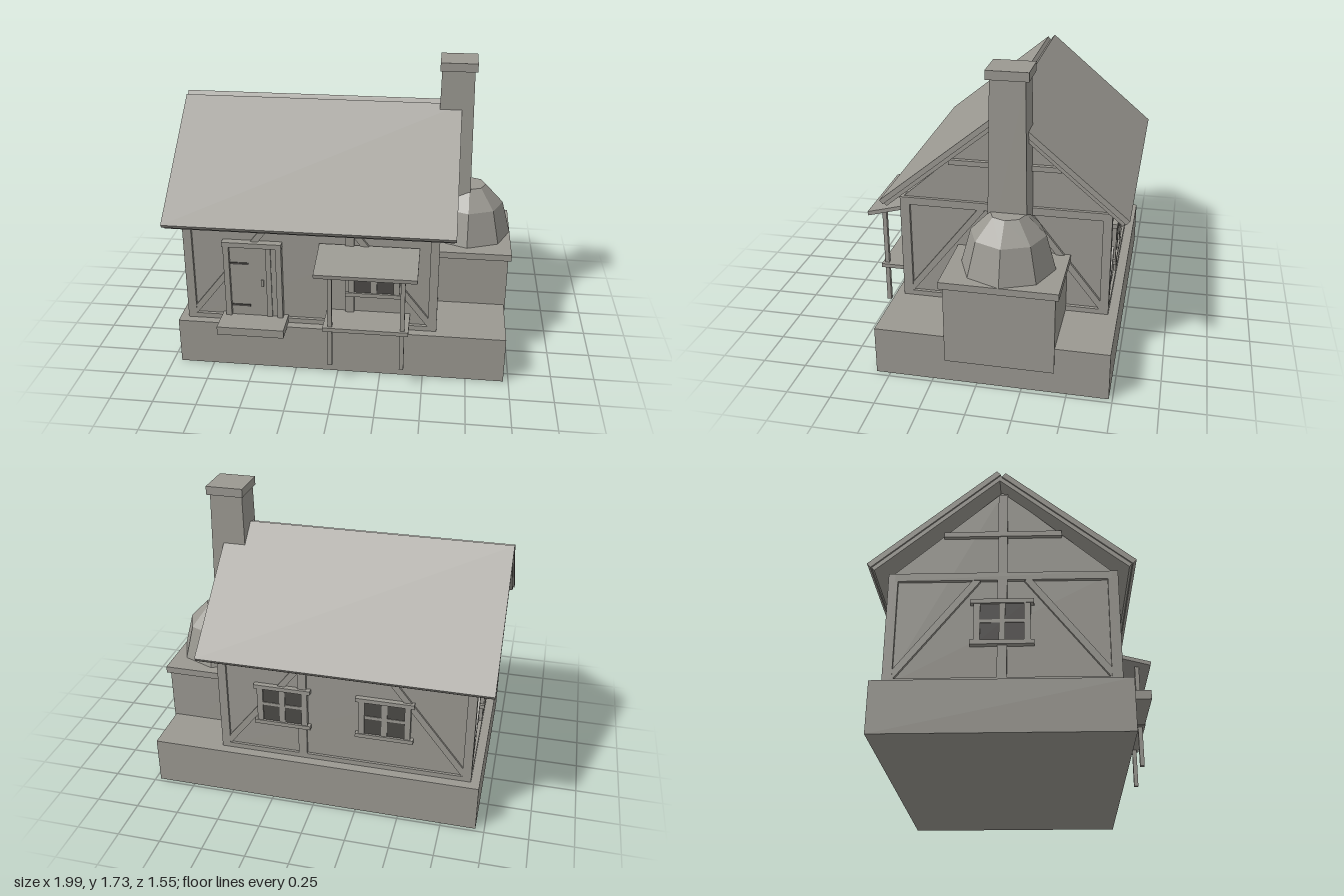
import * as THREE from 'three';

export function createModel() {
  const model = new THREE.Group();
  const clay = new THREE.MeshStandardMaterial({ color: 0x9a9891 });
  clay.name = 'warm grey';
  const dark = new THREE.MeshStandardMaterial({ color: 0x4c4a47 });
  dark.name = 'dark grey';

  const add = (parent, name, geometry, material = clay) => {
    const mesh = new THREE.Mesh(geometry, material);
    mesh.name = name;
    parent.add(mesh);
    return mesh;
  };
  // Box given by its limits on each axis
  const box = (parent, name, x0, x1, y0, y1, z0, z1, material) => {
    const mesh = add(parent, name, new THREE.BoxGeometry(x1 - x0, y1 - y0, z1 - z0), material);
    mesh.position.set((x0 + x1) / 2, (y0 + y1) / 2, (z0 + z1) / 2);
    return mesh;
  };
  // Profile of [z, y] points, extruded along x
  const prism = (name, points, x0, x1) => {
    const shape = new THREE.Shape(points.map(([z, y]) => new THREE.Vector2(-z, y)));
    const geometry = new THREE.ExtrudeGeometry(shape, { depth: x1 - x0, bevelEnabled: false });
    geometry.rotateY(Math.PI / 2).translate(x0, 0, 0);
    return add(model, name, geometry);
  };
  // Square bar between two points of a wall
  const brace = (parent, u0, y0, u1, y1, width = 0.036) => {
    const length = Math.hypot(u1 - u0, y1 - y0);
    const mesh = add(parent, 'brace', new THREE.BoxGeometry(length, width, 0.03));
    mesh.position.set((u0 + u1) / 2, (y0 + y1) / 2, -0.017);
    mesh.rotation.z = Math.atan2(y1 - y0, u1 - u0);
  };
  // Wall group: local x runs along the wall, local z points outward
  const wall = (name, x, z, turn) => {
    const group = new THREE.Group();
    group.name = name;
    group.position.set(x, 0, z);
    group.rotation.y = turn;
    model.add(group);
    return group;
  };
  const timberFrame = (parent, u0, u1, posts) => {
    const beam = (a, b, y0, y1) => box(parent, 'beam', a, b, y0, y1, -0.035, 0);
    beam(u0, u1, 0.865, 0.91);
    beam(u0, u1, 0.28, 0.31);
    for (const u of [u0, u1 - 0.05, ...posts]) beam(u, u + 0.05, 0.31, 0.865);
    brace(parent, u0 + 0.04, 0.32, u0 + 0.47, 0.87);
    brace(parent, u1 - 0.04, 0.32, u1 - 0.47, 0.87);
  };
  const windowAt = (parent, u) => {
    const g = new THREE.Group();
    g.name = 'window';
    g.position.x = u;
    parent.add(g);
    box(g, 'glass', -0.12, 0.12, 0.51, 0.73, -0.003, 0.002, dark);
    box(g, 'sill', -0.165, 0.165, 0.488, 0.512, -0.02, 0.015);
    box(g, 'lintel', -0.165, 0.165, 0.722, 0.746, -0.02, 0.015);
    for (const s of [-1, 1]) box(g, 'jamb', s * 0.13 - 0.017, s * 0.13 + 0.017, 0.512, 0.722, -0.02, 0.01);
    box(g, 'centreBar', -0.016, 0.016, 0.512, 0.722, 0, 0.008);
    box(g, 'crossBar', -0.12, 0.12, 0.613, 0.631, 0, 0.006);
  };

  // Foundation and house body
  box(model, 'foundation', -0.95, 0.97, 0, 0.28, -0.73, 0.58);
  prism('walls', [[0.51, 0.28], [0.51, 0.91], [-0.075, 1.43], [-0.66, 0.91], [-0.66, 0.28]], -0.88, 0.55);

  // Timber framed walls
  const front = wall('frontWall', 0, 0.53, 0);
  const back = wall('backWall', 0, -0.675, Math.PI);
  const rightEnd = wall('chimneyEndWall', 0.57, -0.075, Math.PI / 2);
  const leftEnd = wall('gableEndWall', -0.9, -0.075, -Math.PI / 2);
  timberFrame(front, -0.9, 0.57, [0.04]);
  timberFrame(back, -0.57, 0.9, [-0.1]);
  for (const end of [rightEnd, leftEnd]) {
    timberFrame(end, -0.6, 0.6, [-0.025]);
    box(end, 'collarBeam', -0.315, 0.315, 1.13, 1.16, -0.035, 0.005);
    box(end, 'kingPost', -0.025, 0.025, 0.91, 1.4, -0.035, 0);
  }
  windowAt(front, 0.205);
  windowAt(back, -0.19);
  windowAt(back, 0.4);
  windowAt(leftEnd, 0);

  // Door with frame, hinges, handle and step
  box(front, 'door', -0.63, -0.36, 0.32, 0.77, -0.02, 0.004);
  box(front, 'doorBoard', -0.42, -0.39, 0.32, 0.77, 0, 0.012);
  for (const x of [-0.665, -0.36]) box(front, 'doorPost', x, x + 0.033, 0.31, 0.8, -0.02, 0.02);
  box(front, 'doorLintel', -0.67, -0.325, 0.77, 0.8, -0.02, 0.025);
  for (const y of [0.385, 0.66]) box(front, 'hinge', -0.63, -0.52, y - 0.006, y + 0.006, 0.002, 0.009, dark);
  box(front, 'handle', -0.45, -0.435, 0.52, 0.56, 0, 0.015);
  box(model, 'doorStep', -0.69, -0.3, 0.27, 0.32, 0.5, 0.69);

  // Market awning, posts and counter
  prism('awning', [[0.52, 0.785], [0.52, 0.808], [0.772, 0.742], [0.768, 0.718]], -0.11, 0.46);
  for (const x of [-0.03, 0.38]) box(model, 'awningPost', x - 0.0125, x + 0.0125, 0.12, 0.74, 0.68, 0.705);
  box(model, 'counter', -0.07, 0.415, 0.353, 0.377, 0.5, 0.72);

  // Roof slabs, each with a slightly inset lower layer
  const slab = (name, eave, ridge, x0, x1, top, bottom, inset) => {
    const dz = ridge[0] - eave[0], dy = ridge[1] - eave[1], len = Math.hypot(dz, dy);
    const t = [dz / len, dy / len];
    const n = [-t[1] * Math.sign(dz), Math.abs(t[0])];
    const at = (p, along, depth) => [p[0] + t[0] * along - n[0] * depth, p[1] + t[1] * along - n[1] * depth];
    let points = [at(eave, inset, top), at(ridge, 0, top), at(ridge, 0, bottom), at(eave, inset, bottom)];
    if (dz < 0) points = points.reverse();
    prism(name, points, x0, x1);
  };
  for (const [side, eave, ridge] of [
    ['front', [0.62, 0.92], [-0.06, 1.475]],
    ['back', [-0.775, 0.92], [-0.105, 1.488]],
  ]) {
    slab(side + 'Roof', eave, ridge, -0.995, 0.66, 0, 0.03, 0);
    slab(side + 'RoofLining', eave, ridge, -0.985, 0.65, 0.03, 0.052, 0.006);
  }

  // Oven block with top slab and eight-sided hood
  box(model, 'ovenBlock', 0.5, 0.978, 0.13, 0.59, -0.43, 0.18);
  box(model, 'ovenSlab', 0.5, 0.995, 0.59, 0.63, -0.45, 0.2);
  const hoodProfile = [[0, 0.62], [0.265, 0.63], [0.21, 0.83], [0.1, 0.945], [0, 0.945]]
    .map(([r, y]) => new THREE.Vector2(r, y));
  const hoodGeometry = new THREE.LatheGeometry(hoodProfile, 8, Math.PI / 2).toNonIndexed();
  hoodGeometry.computeVertexNormals();
  add(model, 'ovenHood', hoodGeometry).position.set(0.73, 0, -0.13);

  // Tapered chimney and cap
  const stack = new THREE.CylinderGeometry(0.095 * Math.SQRT2, 0.112 * Math.SQRT2, 1.05, 4).toNonIndexed();
  stack.rotateY(Math.PI / 4);
  stack.computeVertexNormals();
  add(model, 'chimney', stack).position.set(0.63, 1.155, -0.125);
  box(model, 'chimneyCap', 0.525, 0.74, 1.68, 1.73, -0.24, -0.01);

  return model;
}
